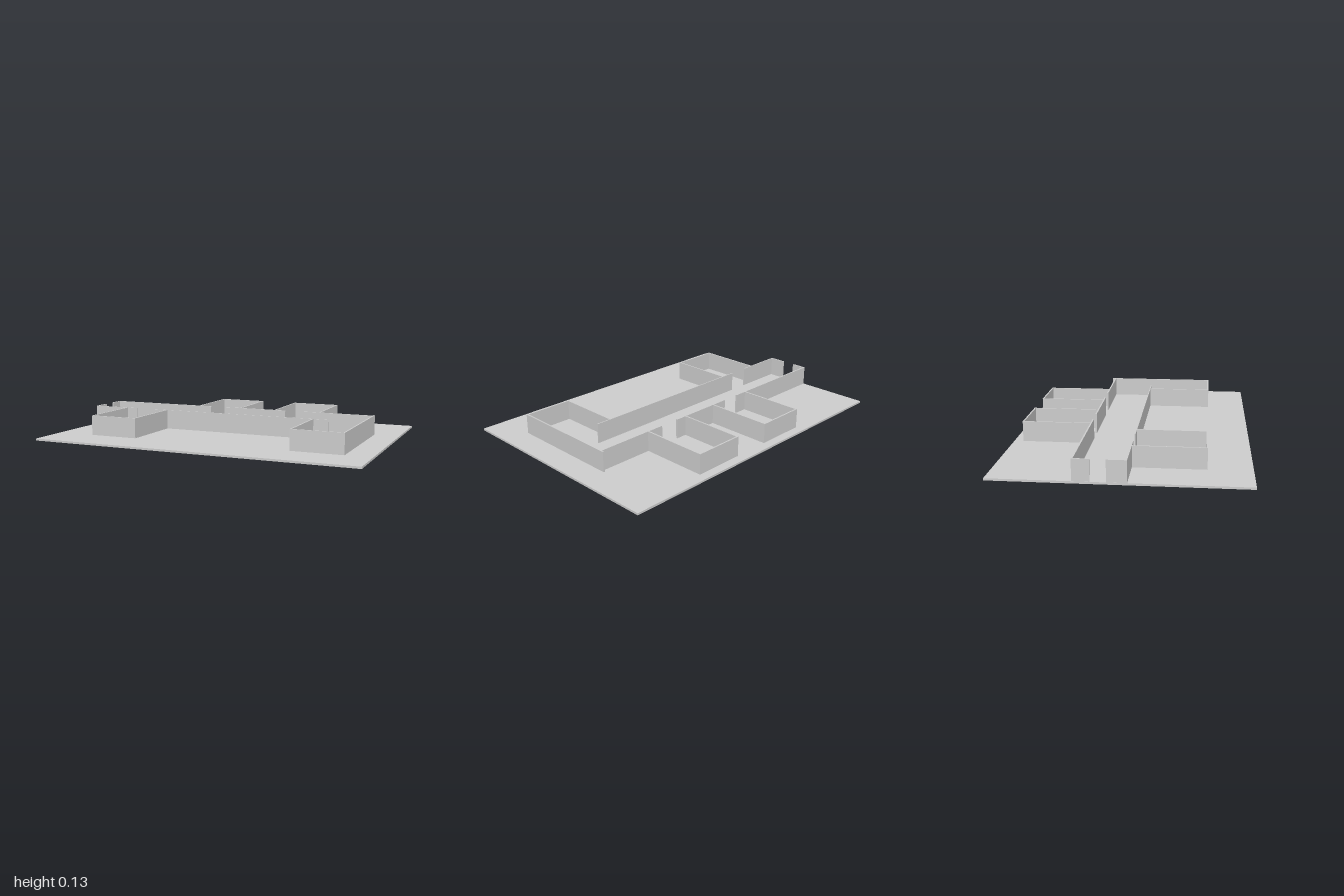
import * as THREE from 'three';

const material = new THREE.MeshStandardMaterial({ color: 0xcccccc, flatShading: true });
const PLATE = 0.012, TOP = 0.134;

function addBox(parent, name, x0, x1, y0, y1, z0, z1) {
  const mesh = new THREE.Mesh(new THREE.BoxGeometry(x1 - x0, y1 - y0, z1 - z0), material);
  mesh.position.set((x0 + x1) / 2, (y0 + y1) / 2, (z0 + z1) / 2);
  mesh.name = name;
  parent.add(mesh);
}

// Upright walls, given by their centre lines
function wallAlongX(parent, name, x0, x1, z, t = 0.009) {
  addBox(parent, name, x0, x1, PLATE, TOP, z - t / 2, z + t / 2);
}
function wallAlongZ(parent, name, x, z0, z1, t = 0.009) {
  addBox(parent, name, x - t / 2, x + t / 2, PLATE, TOP, z0, z1);
}

export function createModel() {
  const model = new THREE.Group();
  model.name = 'floorPlan';
  addBox(model, 'floorPlate', -1, 1, 0, PLATE, -0.7, 0.7);

  const BACK = -0.235, FRONT = 0.045;

  // Corridor walls with door openings between the runs
  const corridor = new THREE.Group();
  corridor.name = 'corridorWalls';
  model.add(corridor);
  for (const [x0, x1] of [[-0.998, -0.268], [-0.157, 0.265], [0.388, 0.84]])
    wallAlongX(corridor, 'backCorridorWall', x0, x1, BACK);
  for (const [x0, x1] of [[-0.998, -0.678], [-0.553, 0.635]])
    wallAlongX(corridor, 'frontCorridorWall', x0, x1, FRONT, 0.006);

  // Short returns either side of the entrance
  wallAlongZ(corridor, 'entranceReturn', -0.994, BACK, -0.145);
  wallAlongZ(corridor, 'entranceReturn', -0.994, -0.06, FRONT);

  // Closed end of the corridor
  wallAlongZ(corridor, 'endWall', 0.841, -0.257, FRONT);

  // Rooms projecting from the corridor: left x, right x, corridor z, outer z
  const rooms = [
    ['backRoom', -0.355, -0.051, BACK, -0.641],
    ['backRoom', 0.192, 0.495, BACK, -0.641],
    ['frontRoom', -0.757, -0.457, FRONT, 0.449],
    ['frontRoom', 0.538, 0.841, FRONT, 0.449],
  ];
  for (const [name, x0, x1, inner, outer] of rooms) {
    const room = new THREE.Group();
    room.name = name;
    const z0 = Math.min(inner, outer), z1 = Math.max(inner, outer);
    wallAlongZ(room, 'sideWall', x0, z0, z1);
    wallAlongZ(room, 'sideWall', x1, z0, z1);
    wallAlongX(room, 'outerWall', x0 - 0.0045, x1 + 0.0045, outer);
    model.add(room);
  }
  return model;
}
